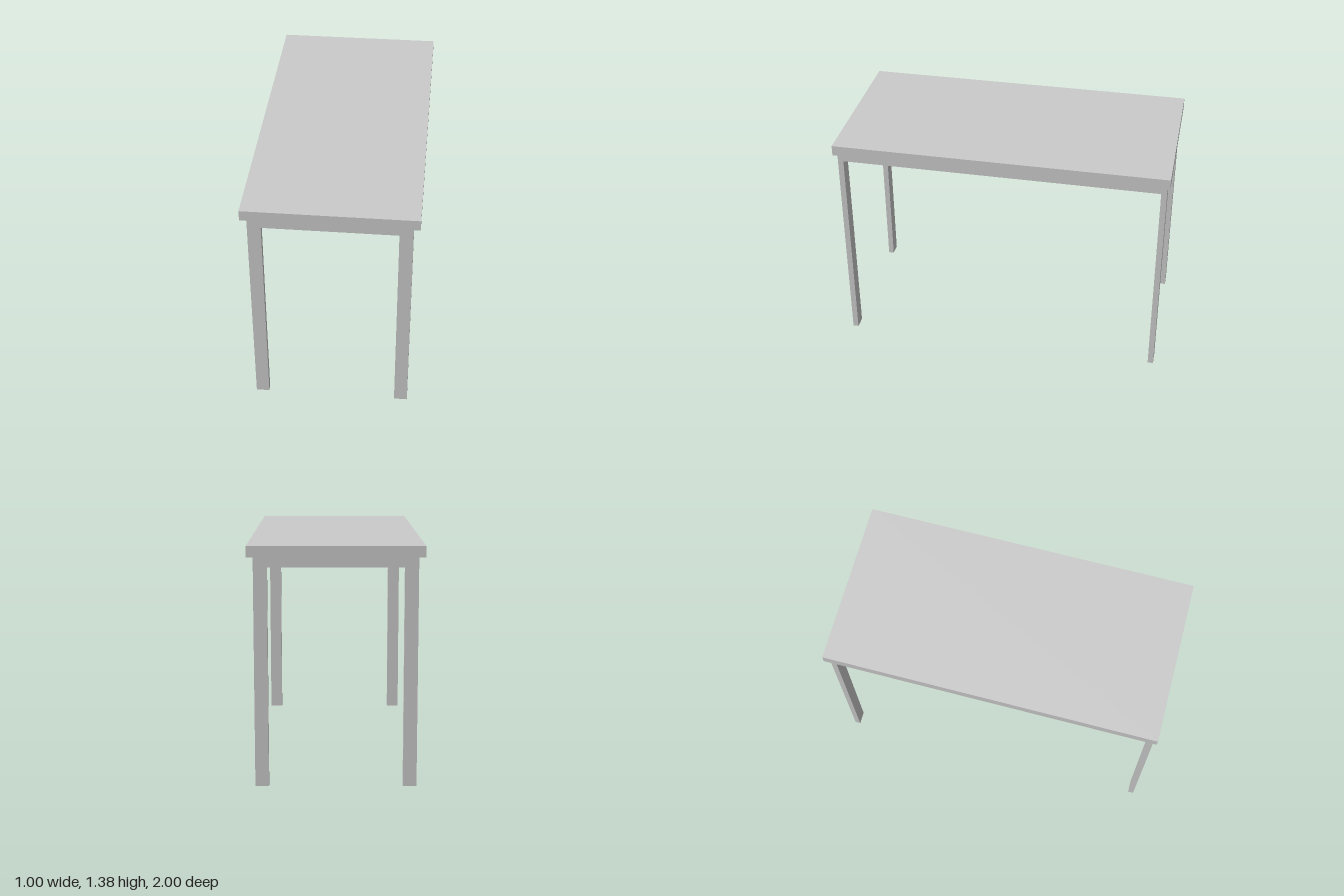
import * as THREE from 'three';

export function createModel() {
  const group = new THREE.Group();
  group.name = 'table';
  const material = new THREE.MeshStandardMaterial({ color: 0xcccccc, flatShading: true });

  const height = 1.38, topBottom = 1.317, railBottom = 1.26;
  const outerX = 0.461, innerX = 0.383; // legs and long rails
  const outerZ = 0.983, innerZ = 0.949; // end frames

  const add = (name, geometry, x, y, z) => {
    const mesh = new THREE.Mesh(geometry, material);
    mesh.name = name;
    mesh.position.set(x, y, z);
    group.add(mesh);
  };

  // Table top
  const thickness = height - topBottom;
  add('tableTop', new THREE.BoxGeometry(0.996, thickness, 2), 0, topBottom + thickness / 2, 0);

  // End frames: two legs joined by a flush short rail
  const frame = new THREE.Shape([
    [-outerX, 0], [-innerX, 0], [-innerX, railBottom], [innerX, railBottom],
    [innerX, 0], [outerX, 0], [outerX, topBottom], [-outerX, topBottom],
  ].map(([x, y]) => new THREE.Vector2(x, y)));
  const frameGeometry = new THREE.ExtrudeGeometry(frame, { depth: outerZ - innerZ, bevelEnabled: false });
  add('frontLegFrame', frameGeometry, 0, 0, innerZ);
  add('backLegFrame', frameGeometry, 0, 0, -outerZ);

  // Long rails between the end frames
  const railGeometry = new THREE.BoxGeometry(outerX - innerX, topBottom - railBottom, 2 * innerZ);
  for (const [name, side] of [['leftRail', 1], ['rightRail', -1]]) {
    add(name, railGeometry, side * (outerX + innerX) / 2, (topBottom + railBottom) / 2, 0);
  }

  return group;
}
